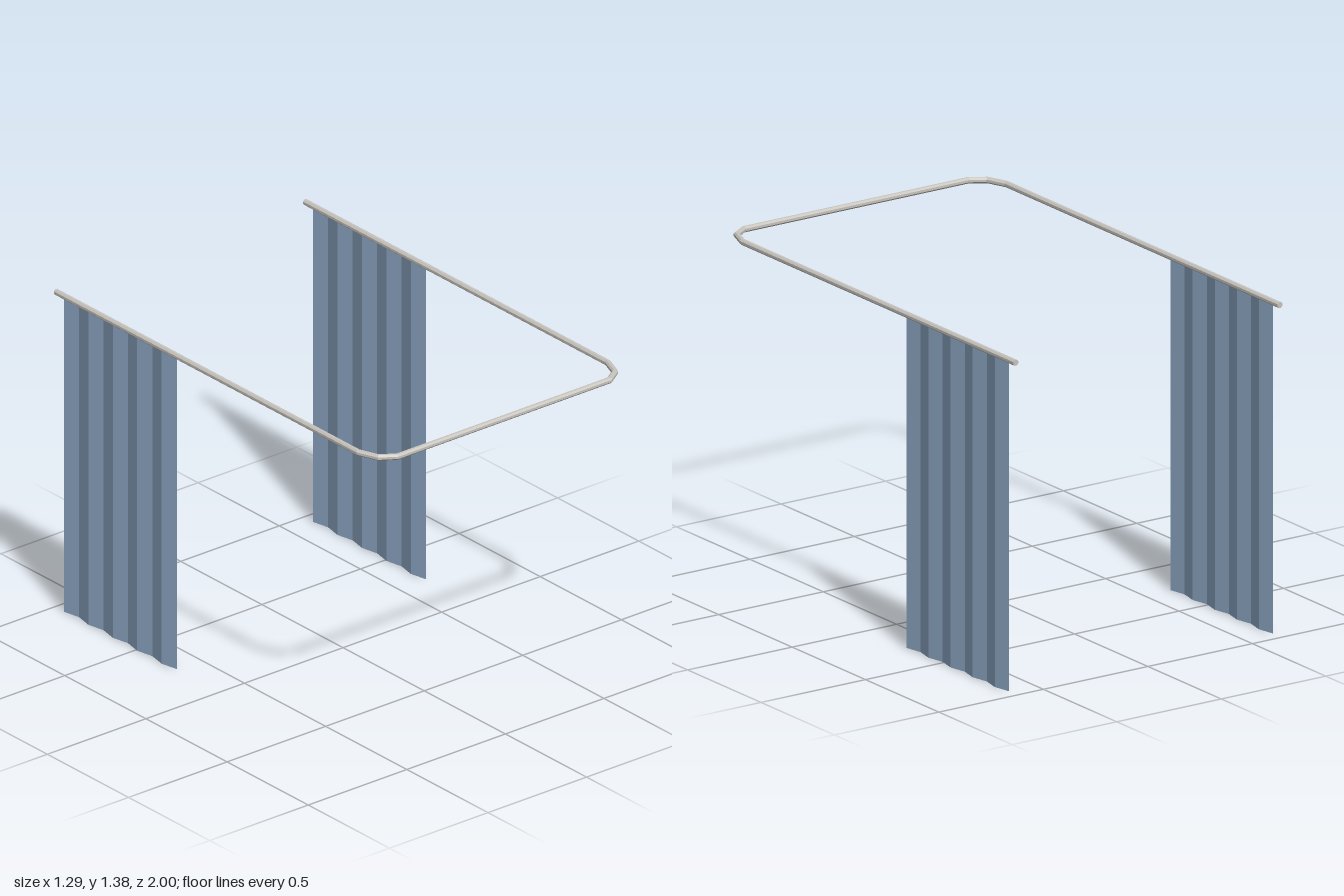
import * as THREE from 'three';

const RAIL_Y = 1.37, RAIL_X = 0.632, SIDES = 8, RADIUS = 0.0128;

// Sweeps an octagonal section along a flat path of [x, z] points with mitred joints
function railGeometry(path) {
  const pos = [], index = [];
  const pts = path.map(([x, z]) => new THREE.Vector2(x, z));
  const last = pts.length - 1;
  pts.forEach((p, i) => {
    const a = pts[Math.min(i, last - 1) + 1].clone().sub(pts[Math.min(i, last - 1)]).normalize();
    const b = i > 0 ? p.clone().sub(pts[i - 1]).normalize() : a;
    const t = a.clone().add(b).normalize();
    const mitre = RADIUS / t.dot(a);
    for (let j = 0; j < SIDES; j++) {
      const ang = ((j + 0.5) / SIDES) * Math.PI * 2;
      const c = Math.cos(ang) * mitre;
      pos.push(p.x + t.y * c, RAIL_Y + Math.sin(ang) * RADIUS, p.y - t.x * c);
    }
  });
  for (let i = 0; i < last; i++) {
    for (let j = 0; j < SIDES; j++) {
      const a = i * SIDES + j, b = i * SIDES + (j + 1) % SIDES;
      index.push(a, b, a + SIDES, b, b + SIDES, a + SIDES);
    }
  }
  // End caps
  const e = last * SIDES;
  for (let j = 1; j < SIDES - 1; j++) index.push(0, j + 1, j, e, e + j, e + j + 1);
  const g = new THREE.BufferGeometry();
  g.setAttribute('position', new THREE.Float32BufferAttribute(pos, 3));
  g.setIndex(index);
  const flat = g.toNonIndexed();
  flat.computeVertexNormals();
  return flat;
}

// Hanging sheet with shallow zigzag folds, running along z
function curtainGeometry() {
  const zFront = -0.265, zBack = -0.943, height = 1.36, panels = 9;
  const g = new THREE.PlaneGeometry(zFront - zBack, height, panels, 1);
  g.rotateY(Math.PI / 2);
  g.translate(0, height / 2, (zFront + zBack) / 2);
  const p = g.attributes.position;
  for (let i = 0; i < p.count; i++) {
    const fold = Math.round(((zFront - p.getZ(i)) / (zFront - zBack)) * panels);
    p.setX(i, fold % 2 ? -0.0075 : 0.0075);
  }
  g.computeVertexNormals();
  return g;
}

export function createModel() {
  const group = new THREE.Group();
  const metal = new THREE.MeshStandardMaterial({ color: 0xc9c5bf, flatShading: true });
  metal.name = 'pale grey metal';
  const cloth = new THREE.MeshStandardMaterial({ color: 0x8fa9c6, flatShading: true, side: THREE.DoubleSide });
  cloth.name = 'soft blue cloth';

  // U-shaped rail with chamfered front corners
  const half = [[-RAIL_X, -1], [-RAIL_X, 0.862], [-0.6, 0.947], [-0.538, 0.988]];
  const path = [...half, ...half.map(([x, z]) => [-x, z]).reverse()];
  const rail = new THREE.Mesh(railGeometry(path), metal);
  rail.name = 'curtainRail';
  group.add(rail);

  // One curtain under each side of the rail
  const sheet = curtainGeometry();
  for (const side of [1, -1]) {
    const curtain = new THREE.Mesh(sheet, cloth);
    curtain.name = side > 0 ? 'leftCurtain' : 'rightCurtain';
    curtain.position.x = side * RAIL_X;
    group.add(curtain);
  }
  return group;
}
